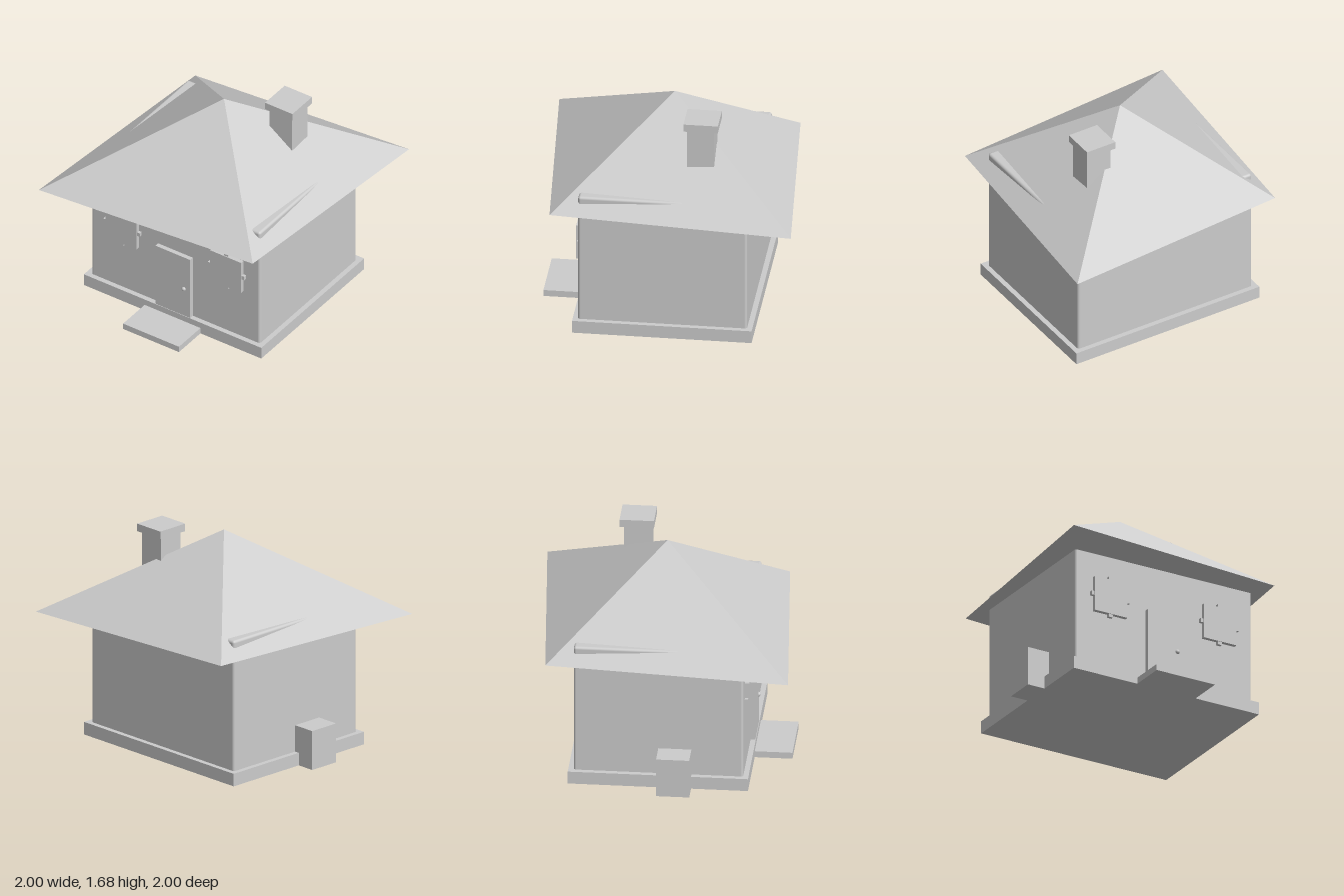
import * as THREE from 'three';
import { RoundedBoxGeometry } from 'three/addons/geometries/RoundedBoxGeometry.js';

export function createModel() {
  const house = new THREE.Group();
  house.name = 'house';
  const material = new THREE.MeshStandardMaterial({ color: 0xcccccc });
  const flat = new THREE.MeshStandardMaterial({ color: 0xcccccc, flatShading: true });

  const add = (name, geometry, mat = material) => {
    const mesh = new THREE.Mesh(geometry, mat);
    mesh.name = name;
    house.add(mesh);
    return mesh;
  };
  // Box given by its extents along each axis
  const box = (name, [x0, x1], [y0, y1], [z0, z1]) =>
    add(name, new THREE.BoxGeometry(x1 - x0, y1 - y0, z1 - z0))
      .position.set((x0 + x1) / 2, (y0 + y1) / 2, (z0 + z1) / 2);

  // Plinth, step and walls with softly rounded edges
  box('foundation', [-0.81, 0.81], [0, 0.1], [-0.68, 0.68]);
  box('doorStep', [-0.255, 0.255], [0, 0.05], [0.66, 0.965]);
  add('walls', new RoundedBoxGeometry(1.54, 1.075, 1.28, 4, 0.02)).position.y = 0.5975;

  // Hipped roof: a four-sided cone whose base is skewed along one diagonal
  const roofGeometry = new THREE.ConeGeometry(1, 0.665, 4);
  roofGeometry.rotateY(Math.PI / 4);
  const p = roofGeometry.attributes.position;
  for (let i = 0; i < p.count; i++) {
    const x = p.getX(i), z = p.getZ(i);
    const reach = (x * z < 0 ? 1 : 0.846) * Math.SQRT2;
    p.setX(i, x * reach);
    p.setZ(i, z * reach);
  }
  add('roof', roofGeometry, flat).position.y = 1.01 + 0.665 / 2;

  // Chimney
  box('chimneyStack', [0.31, 0.515], [1.15, 1.62], [-0.36, -0.155]);
  box('chimneyCap', [0.285, 0.535], [1.62, 1.68], [-0.39, -0.13]);

  // Door and knob
  box('door', [-0.16, 0.157], [0.1, 0.645], [0.62, 0.676]);
  add('doorKnob', new THREE.SphereGeometry(0.018, 20, 14)).position.set(0.1, 0.35, 0.675);

  // Windows with glazing bars that stick out past the pane
  for (const [side, cx] of [['right', -0.477], ['left', 0.477]]) {
    box(side + 'WindowPane', [cx - 0.142, cx + 0.142], [0.53, 0.812], [0.62, 0.672]);
    box(side + 'WindowCrossBar', [cx - 0.167, cx + 0.167], [0.655, 0.688], [0.62, 0.665]);
    box(side + 'WindowUprightBar', [cx - 0.017, cx + 0.017], [0.505, 0.838], [0.62, 0.665]);
  }

  // Box standing against the side wall
  box('sideBox', [-0.955, -0.705], [0, 0.31], [0, 0.25]);

  return house;
}
